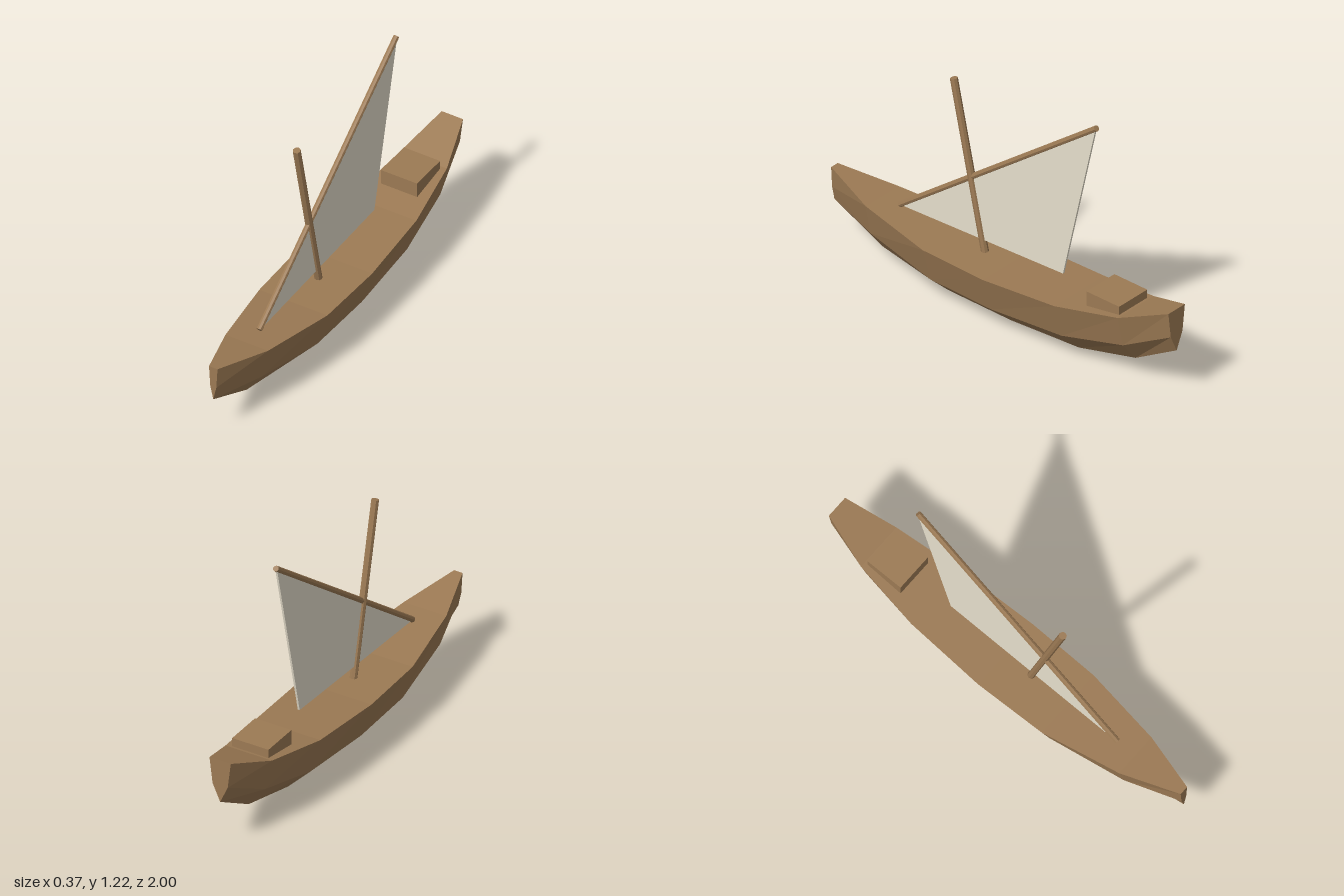
import * as THREE from 'three';

const wood = new THREE.MeshStandardMaterial({ color: 0x9c7a54, flatShading: true });
const cloth = new THREE.MeshStandardMaterial({ color: 0xe6dfcc, side: THREE.DoubleSide, flatShading: true });

// Hull stations from bow to stern: [z, deck height, deck half width, keel height]
const STATIONS = [
  [1.0, 0.375, 0.022, 0.2],
  [0.72, 0.33, 0.11, 0.07],
  [0.33, 0.297, 0.176, 0.003],
  [-0.03, 0.297, 0.185, 0],
  [-0.43, 0.32, 0.166, 0.025],
  [-0.76, 0.375, 0.12, 0.11],
  [-1.0, 0.465, 0.055, 0.25],
];

function mesh(name, geometry, material = wood) {
  const m = new THREE.Mesh(geometry, material);
  m.name = name;
  return m;
}

// Cross-section: deck edge, chine, keel, chine, deck edge
function section([z, deck, half, keel]) {
  const chine = keel + 0.4 * (deck - keel);
  return [[-half, deck, z], [-0.71 * half, chine, z], [0, keel, z], [0.71 * half, chine, z], [half, deck, z]];
}

function hullGeometry() {
  const rings = STATIONS.map(section);
  const pos = [];
  const tri = (...points) => points.forEach((p) => pos.push(...p));
  // Planking, with the last strip closing the deck
  for (let s = 0; s < rings.length - 1; s++) {
    for (let j = 0; j < 5; j++) {
      const k = (j + 1) % 5;
      const a = rings[s][j], b = rings[s][k], c = rings[s + 1][k], d = rings[s + 1][j];
      tri(a, d, c);
      tri(a, c, b);
    }
  }
  // Stem and transom
  const bow = rings[0], stern = rings[rings.length - 1];
  for (let j = 1; j < 4; j++) {
    tri(bow[0], bow[j], bow[j + 1]);
    tri(stern[0], stern[j + 1], stern[j]);
  }
  const geometry = new THREE.BufferGeometry();
  geometry.setAttribute('position', new THREE.Float32BufferAttribute(pos, 3));
  geometry.computeVertexNormals();
  return geometry;
}

// Round spar between two [z, y] points on the centre line
function spar(name, [z0, y0], [z1, y1], radius) {
  const a = new THREE.Vector3(0, y0, z0), b = new THREE.Vector3(0, y1, z1);
  const m = mesh(name, new THREE.CylinderGeometry(radius, radius, a.distanceTo(b), 8));
  m.position.copy(a).add(b).multiplyScalar(0.5);
  m.quaternion.setFromUnitVectors(new THREE.Vector3(0, 1, 0), b.sub(a).normalize());
  return m;
}

// Thin triangular sail, drawn in (z, y) and turned into the centre plane
function sailGeometry() {
  const thickness = 0.01;
  const shape = new THREE.Shape([[0.61, 0.335], [-0.34, 0.375], [-0.53, 1.205]].map(([z, y]) => new THREE.Vector2(z, y)));
  return new THREE.ExtrudeGeometry(shape, { depth: thickness, bevelEnabled: false })
    .translate(0, 0, -thickness / 2)
    .rotateY(-Math.PI / 2);
}

export function createModel() {
  const boat = new THREE.Group();
  boat.name = 'sailboat';
  boat.add(mesh('hull', hullGeometry()));

  const cabin = mesh('cabin', new THREE.BoxGeometry(0.187, 0.1, 0.192));
  cabin.position.set(0, 0.365, -0.65);
  boat.add(cabin);

  boat.add(spar('mast', [0.12, 0.295], [0.302, 1.123], 0.018));
  boat.add(spar('yard', [0.615, 0.333], [-0.532, 1.21], 0.014));
  boat.add(mesh('sail', sailGeometry(), cloth));
  return boat;
}
